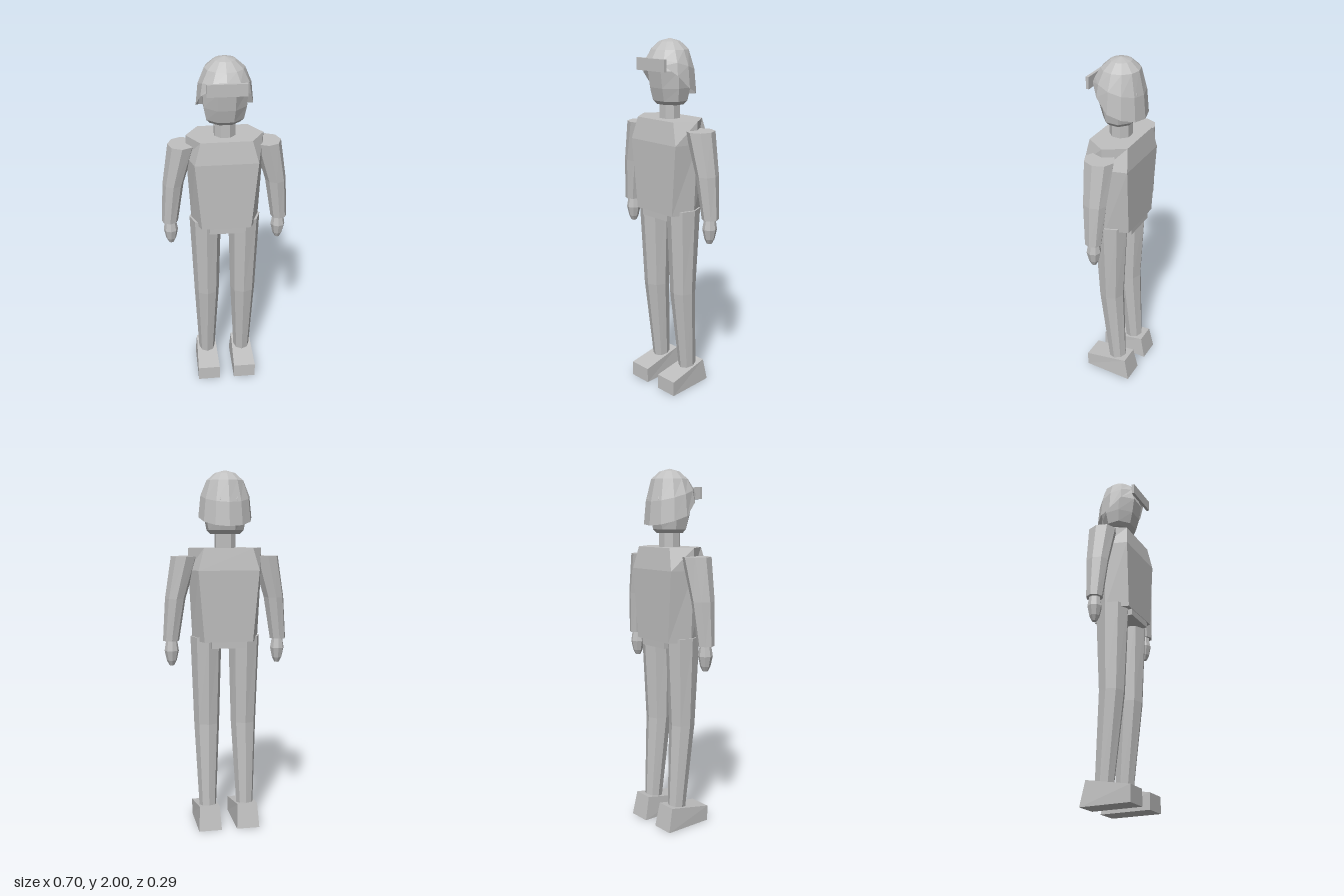
import * as THREE from 'three';

const grey = new THREE.MeshStandardMaterial({ color: 0xc0c0c0, flatShading: true });
grey.name = 'plain grey';
const greyOpen = grey; // one colour everywhere
greyOpen.side = THREE.DoubleSide;

// Skin a stack of rings (bottom to top, each a loop of [x, y, z] counter-clockwise from above)
function loft(rings, capBottom = true, capTop = true) {
  const pos = [];
  const n = rings[0].length;
  const centre = (r) => [0, 1, 2].map((k) => r.reduce((sum, p) => sum + p[k], 0) / n);
  for (let j = 0; j < rings.length - 1; j++) {
    for (let i = 0; i < n; i++) {
      const k = (i + 1) % n, a = rings[j], b = rings[j + 1];
      pos.push(...a[i], ...a[k], ...b[k], ...a[i], ...b[k], ...b[i]);
    }
  }
  const low = rings[0], high = rings[rings.length - 1];
  for (let i = 0; i < n; i++) {
    const k = (i + 1) % n;
    if (capBottom) pos.push(...centre(low), ...low[k], ...low[i]);
    if (capTop) pos.push(...centre(high), ...high[i], ...high[k]);
  }
  const geo = new THREE.BufferGeometry();
  geo.setAttribute('position', new THREE.Float32BufferAttribute(pos, 3));
  geo.computeVertexNormals();
  return geo;
}

// Elliptical ring; turn is in fractions of one side
function ring(sides, y, cx, cz, rx, rz, turn = 0) {
  return Array.from({ length: sides }, (_, i) => {
    const a = ((i + turn) / sides) * Math.PI * 2;
    return [cx + rx * Math.cos(a), y, cz - rz * Math.sin(a)];
  });
}

export function createModel() {
  const model = new THREE.Group();
  model.name = 'standingFigure';
  const add = (name, geo, parent = model) => {
    const mesh = new THREE.Mesh(geo, grey);
    mesh.name = name;
    parent.add(mesh);
    return mesh;
  };

  // Torso: six-sided, pointed at the shoulders: [y, side x, front corner x, depth]
  const torso = [
    [1.075, 0.185, 0.135, 0.12],
    [1.465, 0.205, 0.168, 0.127],
    [1.585, 0.205, 0.135, 0.11],
  ].map(([y, w, c, d]) => [[w, y, 0], [c, y, -d], [-c, y, -d], [-w, y, 0], [-c, y, d], [c, y, d]]);
  add('torso', loft(torso));

  // Pelvis slab between the legs
  add('pelvis', new THREE.BoxGeometry(0.19, 0.05, 0.235).translate(0, 1.065, 0));

  // Neck
  add('neck', loft([ring(8, 1.57, 0, 0, 0.06, 0.06, 0.5), ring(8, 1.7, 0, 0, 0.06, 0.06, 0.5)]));

  // Head with a tapering jaw
  add('head', loft([
    [1.66, 0.085, 0.07], [1.68, 0.105, 0.09], [1.75, 0.12, 0.11],
    [1.84, 0.125, 0.125], [1.91, 0.1, 0.1],
  ].map(([y, rx, rz]) => ring(8, y, 0, 0, rx, rz, 0.5))));

  // Helmet: twelve-sided dome whose open rim sweeps down to the back
  const rim = ring(12, 0, 0, 0, 0.148, 0.139).map(([x, , z]) =>
    [x, z > 0 ? 1.75 + z * 1.0 : 1.75 + z * 0.36, z]);
  const brow = ring(12, 0, 0, 0, 0.136, 0.128).map(([x, , z]) => [x, 1.865 + z * 0.3, z]);
  add('helmet', loft([
    rim, brow,
    ring(12, 1.945, 0, 0, 0.103, 0.1),
    ring(12, 1.985, 0, 0, 0.057, 0.055),
    ring(12, 2.0, 0, 0, 0.002, 0.002),
  ], false, true));

  // Visor bar across the front of the helmet
  add('visor', new THREE.BoxGeometry(0.205, 0.064, 0.016).translate(0, 1.872, 0.135));

  for (const [side, s] of [['left', 1], ['right', -1]]) {
    // Arm: leans outwards and narrows to the cuff
    add(side + 'Arm', loft([
      [1.075, 0.305, 0.045, 0.046],
      [1.31, 0.279, 0.057, 0.066],
      [1.54, 0.226, 0.075, 0.082],
    ].map(([y, x, rx, rz]) => ring(8, y, s * x, 0, rx, rz))));

    // Hand
    add(side + 'Hand', loft([
      [0.937, 0.014], [0.965, 0.028], [1.02, 0.04], [1.08, 0.03],
    ].map(([y, r]) => ring(8, y, s * 0.302, 0, r, r))));

    // Leg: shin slopes back to the ankle
    add(side + 'Leg', loft([
      [0.11, 0.108, -0.037, 0.048, 0.052],
      [0.6, 0.106, 0.002, 0.072, 0.072],
      [1.097, 0.108, 0.003, 0.088, 0.098],
    ].map(([y, x, z, rx, rz]) => ring(8, y, s * x, z, rx, rz))));

    // Foot: wedge, higher and narrower at the heel
    const foot = new THREE.BoxGeometry(0.13, 1, 0.285);
    const p = foot.attributes.position;
    for (let i = 0; i < p.count; i++) {
      const top = p.getY(i) > 0, heel = p.getZ(i) < 0;
      p.setY(i, top ? (heel ? 0.135 : 0.088) : 0);
      if (top && heel) p.setXYZ(i, p.getX(i) * 0.87, 0.135, -0.115);
    }
    foot.translate(s * 0.109, 0, 0);
    foot.computeVertexNormals();
    add(side + 'Foot', foot);
  }
  return model;
}
